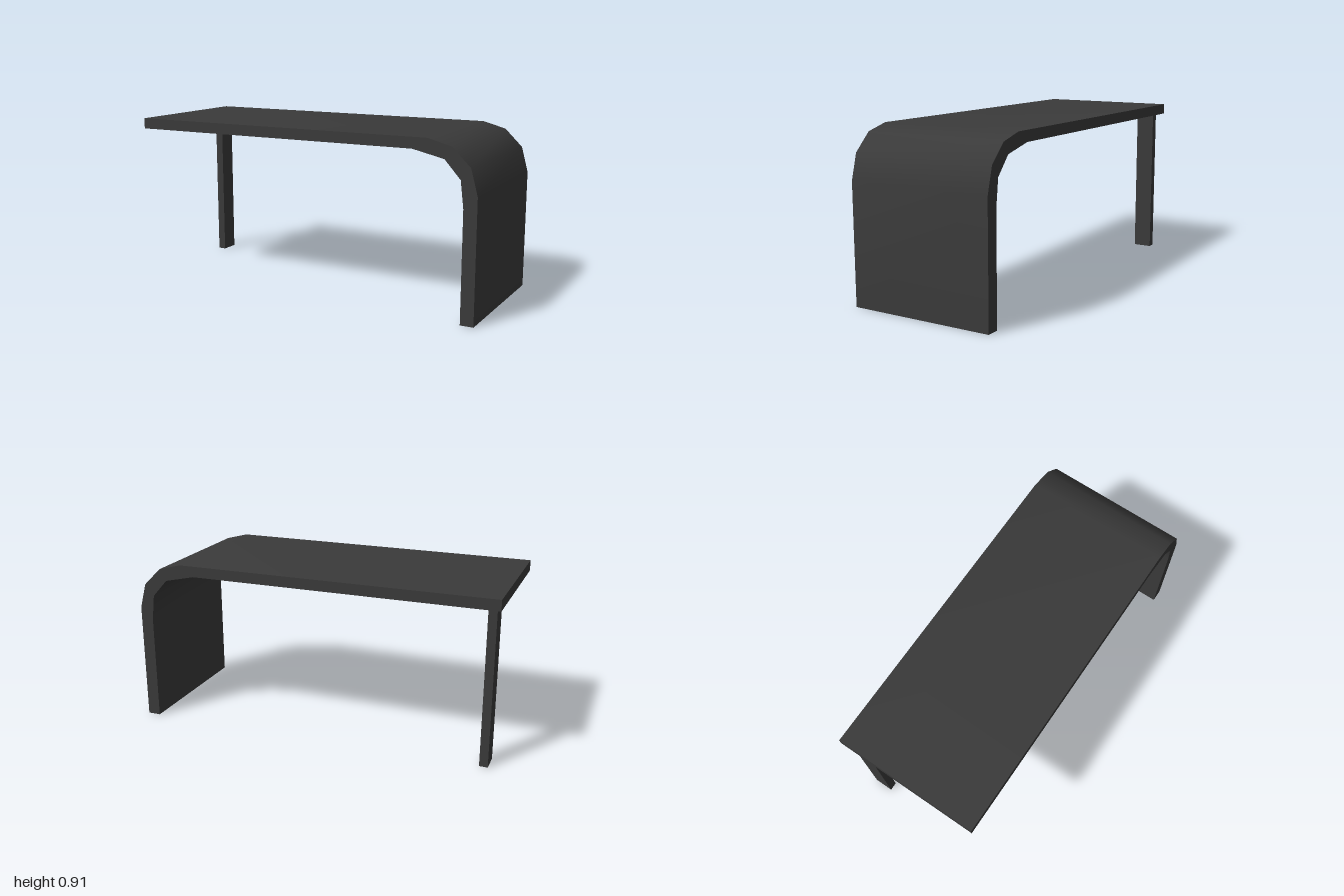
import * as THREE from 'three';
import { toCreasedNormals } from 'three/addons/utils/BufferGeometryUtils.js';

const DEPTH = 0.796;

export function createModel() {
  const model = new THREE.Group();
  model.name = 'desk';

  const charcoal = new THREE.MeshStandardMaterial({ color: 0x3a3a3a });
  charcoal.name = 'charcoal';

  // Top that bends down into a side panel: closed profile, extruded along z
  const profile = [
    [-1, 0.849], [0.66, 0.849], [0.828, 0.811], [0.913, 0.717], [0.93, 0.578], [0.93, 0],
    [1, 0], [1, 0.643], [0.963, 0.778], [0.866, 0.873], [0.738, 0.907], [-1, 0.907],
  ].map(([x, y]) => new THREE.Vector2(x, y));
  const slab = new THREE.ExtrudeGeometry(new THREE.Shape(profile), { depth: DEPTH, bevelEnabled: false });
  slab.translate(0, 0, -DEPTH / 2);
  // Smooth across the bend, sharp at the rims
  const top = new THREE.Mesh(toCreasedNormals(slab, 0.7), charcoal);
  top.name = 'curvedTopAndSidePanel';
  model.add(top);

  // Single flat leg near the back corner
  const leg = new THREE.Mesh(new THREE.BoxGeometry(0.045, 0.85, 0.104), charcoal);
  leg.name = 'backLeg';
  leg.position.set(-0.953, 0.425, -0.303);
  model.add(leg);

  return model;
}
